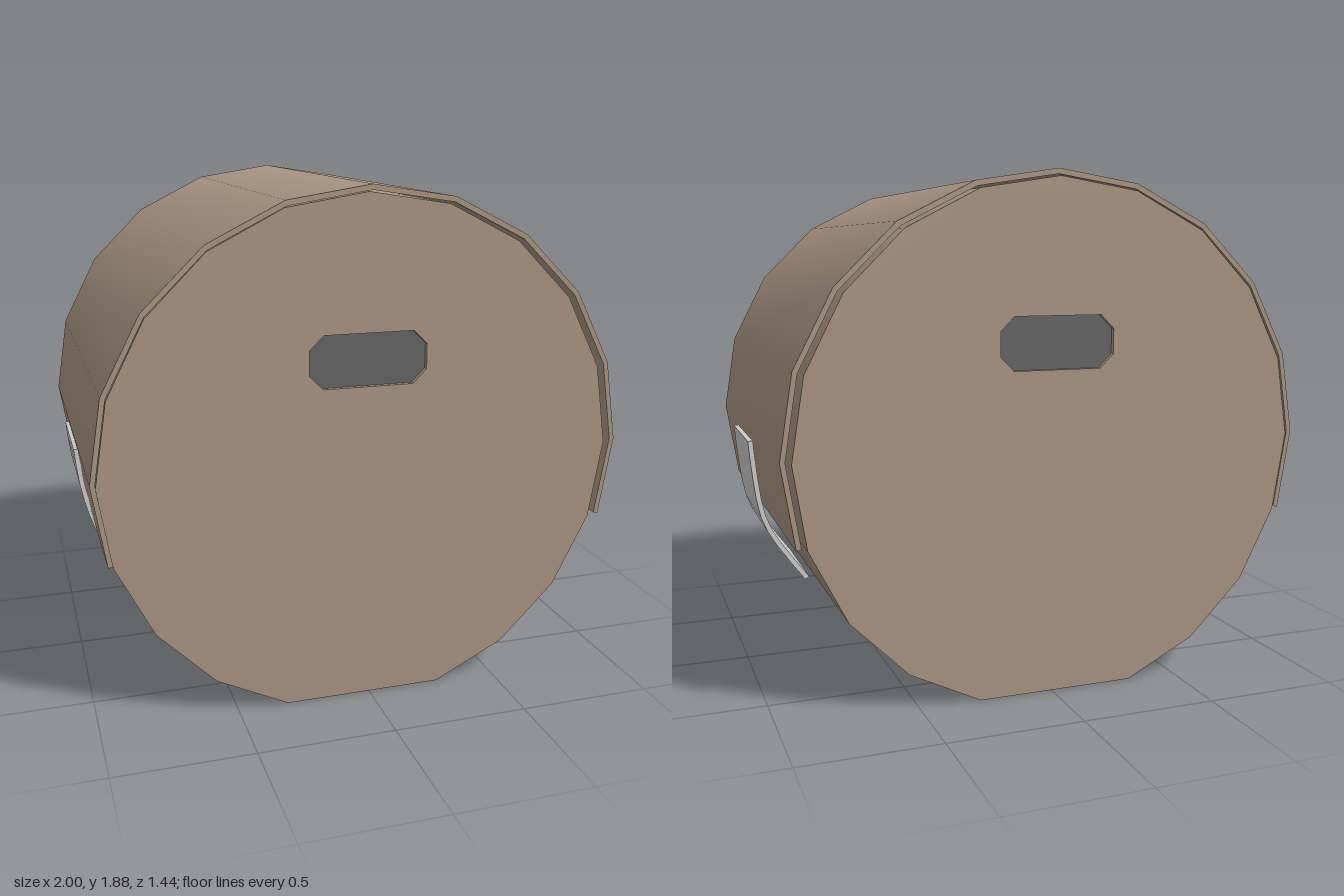
import * as THREE from 'three';
import { toCreasedNormals } from 'three/addons/utils/BufferGeometryUtils.js';

const brown = new THREE.MeshStandardMaterial({ color: 0xa89482 });
const dark = new THREE.MeshStandardMaterial({ color: 0x646464 });
const grey = new THREE.MeshStandardMaterial({ color: 0xcccccc });

const CX = -0.02, CY = 0.9, R = 0.95, STEP = Math.PI / 10;
const HALF_BODY = 0.713, HALF_LID = 0.718, RECESS = 0.02;

const toShape = (points) => new THREE.Shape(points.map(([x, y]) => new THREE.Vector2(x, y)));

// Extrude a shape along z between two depths, smooth around the curve, sharp at the ends
function slab(name, shape, z0, z1, material) {
  const geometry = new THREE.ExtrudeGeometry(shape, { depth: z1 - z0, bevelEnabled: false });
  geometry.translate(0, 0, z0);
  const mesh = new THREE.Mesh(toCreasedNormals(geometry, 0.5), material);
  mesh.name = name;
  return mesh;
}

// Twenty-sided drum outline with the lowest corner cut off to stand flat
function drumOutline() {
  const points = [];
  for (let i = -4; i <= 14; i++) {
    points.push([CX + R * Math.cos(i * STEP), Math.max(0, CY + R * Math.sin(i * STEP))]);
  }
  return points;
}

// Rectangle with clipped corners for the hand slot
function slotOutline() {
  const [x0, x1, y0, y1, c] = [-0.23, 0.2, 1.18, 1.37, 0.05];
  return [[x0 + c, y0], [x1 - c, y0], [x1, y0 + c], [x1, y1 - c],
    [x1 - c, y1], [x0 + c, y1], [x0, y1 - c], [x0, y0 + c]];
}

// Close an outer line and an inner line into one thin band
const band = (outer, inner) => toShape([...outer, ...inner.reverse()]);

export function createModel() {
  const model = new THREE.Group();
  model.name = 'drumBox';

  // Body core, with pierced end plates that form shallow slots
  const inner = HALF_BODY - RECESS;
  model.add(slab('body', toShape(drumOutline()), -inner, inner, brown));
  for (const [side, z0, z1] of [['front', inner, HALF_BODY], ['back', -HALF_BODY, -inner]]) {
    const plate = toShape(drumOutline());
    plate.holes.push(toShape(slotOutline()));
    model.add(slab(side + 'Plate', plate, z0, z1, brown));
    const z = side === 'front' ? inner : -inner;
    model.add(slab(side + 'Slot', toShape(slotOutline()), z - 0.002, z + 0.002, dark));
  }

  // Thin curved lid, slightly loose on the left-hand side
  const lidOuter = [], lidInner = [];
  for (let i = -1; i <= 11; i++) {
    const c = Math.cos(i * STEP), s = Math.sin(i * STEP);
    lidOuter.push([-0.01 + 0.98 * c, CY + 0.01 + 0.965 * s]);
    lidInner.push([-0.01 + 0.962 * c, CY + 0.01 + 0.945 * s]);
  }
  model.add(slab('lid', band(lidOuter, lidInner), -HALF_LID, HALF_LID, brown));

  // Bent straps that join the lid to the body
  const straps = {
    leftStrap: [[1.0, 0.9], [0.985, 0.75], [0.96, 0.61], [0.905, 0.5], [0.8, 0.355]],
    rightStrap: [[-1.0, 0.885], [-0.985, 0.75], [-0.955, 0.62], [-0.915, 0.52], [-0.825, 0.355]],
  };
  for (const [name, points] of Object.entries(straps)) {
    const curve = new THREE.SplineCurve(points.map(([x, y]) => new THREE.Vector2(x, y)));
    const outer = [], under = [];
    for (let i = 0; i <= 8; i++) {
      const p = curve.getPoint(i / 8), t = curve.getTangent(i / 8);
      const k = 0.018 * Math.sign(p.x);
      outer.push([p.x, p.y]);
      under.push([p.x + t.y * k, p.y - t.x * k]);
    }
    model.add(slab(name, band(outer, under), -0.2, 0.2, grey));
  }
  return model;
}
